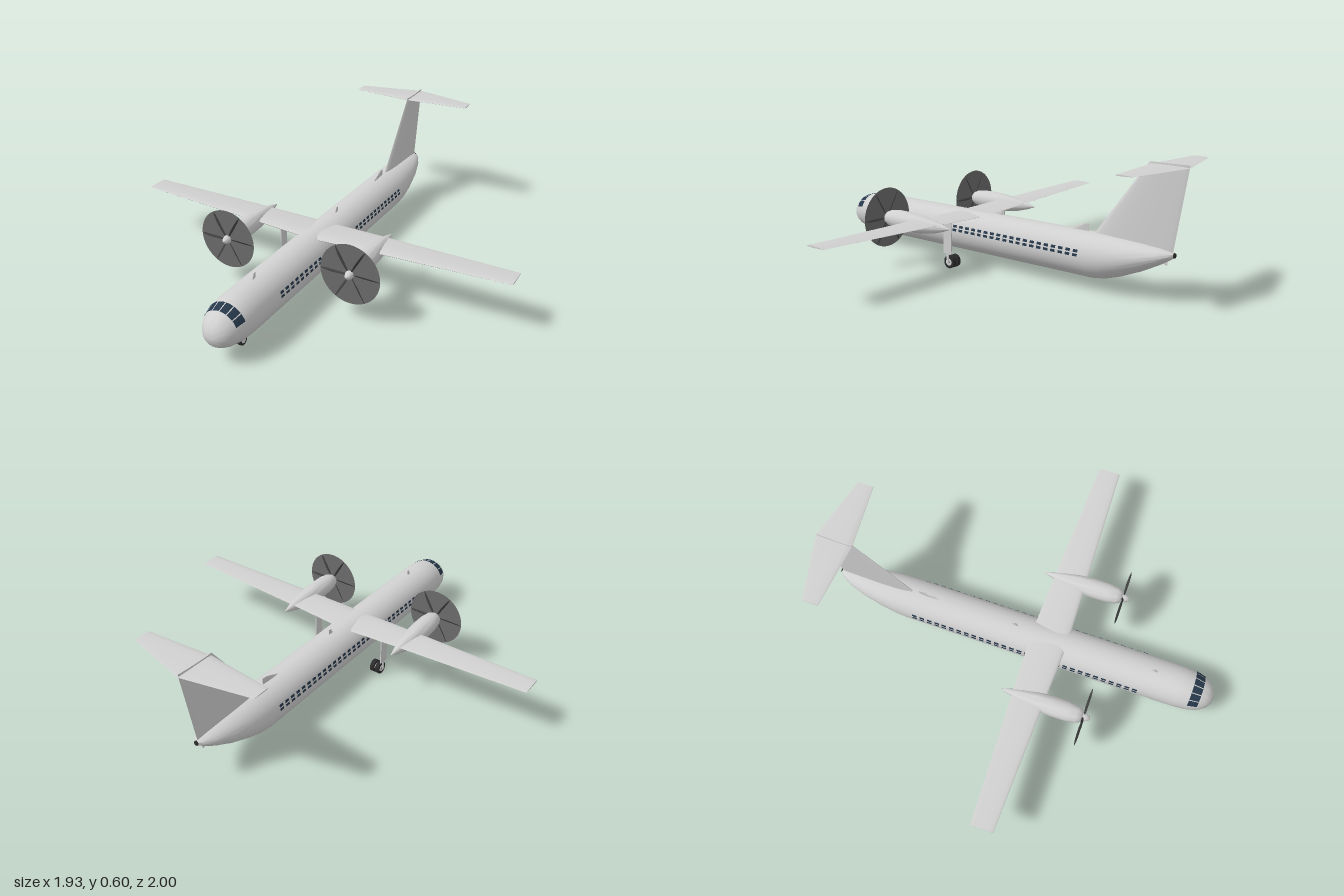
import * as THREE from 'three';
import { toCreasedNormals } from 'three/addons/utils/BufferGeometryUtils.js';

const mat = (name, color) => {
  const m = new THREE.MeshStandardMaterial({ color });
  m.name = name;
  return m;
};

// Joins rings of points (counter-clockwise about the direction of travel) and caps both ends.
function loft(rings, crease = 0.7) {
  const n = rings[0].length, pos = [], idx = [];
  rings.forEach((r) => r.forEach((p) => pos.push(...p)));
  for (let i = 0; i < rings.length - 1; i++) {
    for (let j = 0; j < n; j++) {
      const a = i * n + j, b = i * n + (j + 1) % n;
      idx.push(a, b, a + n, b, b + n, a + n);
    }
  }
  const end = (rings.length - 1) * n;
  for (let j = 1; j < n - 1; j++) idx.push(0, j + 1, j, end, end + j, end + j + 1);
  const g = new THREE.BufferGeometry();
  g.setAttribute('position', new THREE.Float32BufferAttribute(pos, 3));
  g.setIndex(idx);
  return toCreasedNormals(g, crease);
}

// Elliptical body section: [z, half width, top, bottom]
const bodyPoint = ([z, rx, top, bot], t) =>
  [rx * Math.cos(t), (top + bot) / 2 + (top - bot) / 2 * Math.sin(t), z];
const bodyLoft = (sections, n) => loft(sections.map((s) =>
  Array.from({ length: n }, (_, j) => bodyPoint(s, j / n * Math.PI * 2))));

// Aerofoil outline as [z, offset], rounded at the front and sharp at the back
const aerofoil = (zBack, zFront, half) => Array.from({ length: 24 }, (_, j) => {
  const b = j / 24 * Math.PI * 2;
  return [zBack + (zFront - zBack) * (1 + Math.cos(b)) / 2,
    half * Math.sin(b) * (0.85 + 0.4 * Math.cos(b))];
});
// Horizontal surface, rows of [x, y, zBack, zFront, half thickness]
const wingLoft = (rows) => loft(rows.map(([x, y, zb, zf, h]) =>
  aerofoil(zb, zf, h).map(([z, t]) => [x, y - t, z])));
// Vertical surface, rows of [y, zBack, zFront, half thickness]
const finLoft = (rows) => loft(rows.map(([y, zb, zf, h]) =>
  aerofoil(zb, zf, h).map(([z, t]) => [t, y, z])));

const HULL = [
  [-0.945, 0.012, 0.226, 0.205], [-0.93, 0.028, 0.23, 0.194], [-0.88, 0.054, 0.238, 0.163],
  [-0.8, 0.077, 0.246, 0.122], [-0.7, 0.093, 0.252, 0.08], [-0.63, 0.1, 0.2545, 0.058],
  [-0.57, 0.1025, 0.255, 0.05], [0.76, 0.1025, 0.255, 0.05], [0.82, 0.102, 0.254, 0.051],
  [0.88, 0.097, 0.246, 0.055], [0.93, 0.085, 0.231, 0.065], [0.96, 0.069, 0.213, 0.077],
  [0.98, 0.052, 0.193, 0.092], [0.994, 0.029, 0.168, 0.113], [1.0, 0.006, 0.146, 0.134],
];

// Hull section at any z, grown slightly outward
function hullAt(z, grow) {
  let i = 0;
  while (i < HULL.length - 2 && HULL[i + 1][0] < z) i++;
  const a = HULL[i], b = HULL[i + 1], k = (z - a[0]) / (b[0] - a[0]);
  const s = a.map((v, c) => v + (b[c] - v) * k);
  return [z, s[1] + grow, s[2] + grow, s[3] - grow];
}

// Thin pane following the hull
function hullPane(z0, z1, t0, t1) {
  const pos = [], idx = [], steps = 4;
  for (let j = 0; j <= steps; j++) {
    const t = t0 + (t1 - t0) * j / steps;
    pos.push(...bodyPoint(hullAt(z0, 0.002), t), ...bodyPoint(hullAt(z1, 0.002), t));
    if (j < steps) idx.push(2 * j, 2 * j + 2, 2 * j + 1, 2 * j + 2, 2 * j + 3, 2 * j + 1);
  }
  const g = new THREE.BufferGeometry();
  g.setAttribute('position', new THREE.Float32BufferAttribute(pos, 3));
  g.setIndex(idx);
  g.computeVertexNormals();
  return g;
}

export function createModel() {
  const model = new THREE.Group();
  model.name = 'airliner';
  const body = mat('body grey', 0xd0d0d0);
  const glass = mat('window blue', 0x26384a);
  const dark = mat('tyre black', 0x2c2c2c);
  const blade = mat('blade grey', 0x404040);
  const blur = mat('propeller disc grey', 0x6c6c6c);
  blur.side = glass.side = THREE.DoubleSide;

  const add = (name, geo, m, parent = model, x = 0, y = 0, z = 0) => {
    const mesh = new THREE.Mesh(geo, m);
    mesh.name = name;
    mesh.position.set(x, y, z);
    parent.add(mesh);
    return mesh;
  };
  const group = (name, x = 0, y = 0, z = 0) => {
    const g = new THREE.Group();
    g.name = name;
    g.position.set(x, y, z);
    model.add(g);
    return g;
  };

  // Fuselage, exhaust and flying surfaces
  add('fuselage', bodyLoft(HULL, 48), body);
  add('tailExhaust', new THREE.CylinderGeometry(0.011, 0.011, 0.012, 16).rotateX(Math.PI / 2),
    dark, model, 0, 0.2155, -0.944);
  add('wing', wingLoft([
    [-0.965, 0.26, 0.105, 0.215, 0.004], [-0.32, 0.247, 0.078, 0.236, 0.01],
    [-0.05, 0.239, 0.066, 0.246, 0.012], [0.05, 0.239, 0.066, 0.246, 0.012],
    [0.32, 0.247, 0.078, 0.236, 0.01], [0.965, 0.26, 0.105, 0.215, 0.004],
  ]), body);
  add('fin', finLoft([[0.215, -0.938, -0.53, 0.016], [0.597, -0.998, -0.815, 0.006]]), body);
  add('tailplane', wingLoft([
    [-0.32, 0.585, -0.925, -0.846, 0.003], [0, 0.585, -1, -0.817, 0.006],
    [0.32, 0.585, -0.925, -0.846, 0.003],
  ]), body);

  // Small blades along the top and bottom: [name, z back, z front, top z front, y base, y tip]
  const blades = [
    ['dorsalFairing', -0.525, -0.41, -0.5, 0.25, 0.288],
    ['frontAerial', 0.675, 0.702, 0.685, 0.25, 0.28],
    ['midAerial', -0.035, -0.005, -0.022, 0.25, 0.28],
    ['bellyAerial', 0.325, 0.352, 0.335, 0.055, 0.033],
    ['tailSkid', -0.915, -0.89, -0.905, 0.19, 0.168],
  ];
  for (const [name, zb, zf, zt, y0, y1] of blades) {
    const rows = [[y0, zb, zf, 0.004], [y1, zb - 0.003, zt, 0.003]];
    add(name, finLoft(y1 > y0 ? rows : rows.reverse()), body);
  }

  // Cockpit panes across the nose
  const cockpit = group('cockpitWindows');
  for (let i = 0; i < 6; i++) {
    const t = 0.36 + i * 0.405;
    add('cockpitPane', hullPane(0.882, 0.93, t + 0.025, t + 0.38), glass, cockpit);
  }

  // Two window strips on each side
  const cabin = group('cabinWindows');
  for (let i = 0; i < 30; i++) {
    const z = 0.612 - i * 0.0395;
    for (const [t0, t1] of [[0.25, 0.37], [0.075, 0.19]]) {
      add('cabinWindow', hullPane(z, z + 0.024, t0, t1), glass, cabin);
      add('cabinWindow', hullPane(z, z + 0.024, Math.PI - t1, Math.PI - t0), glass, cabin);
    }
  }

  // Engines with propellers
  const nacelle = bodyLoft([
    [0.02, 0.002, 0.237, 0.233], [0.06, 0.014, 0.25, 0.218], [0.12, 0.03, 0.263, 0.201],
    [0.2, 0.044, 0.275, 0.188], [0.28, 0.049, 0.28, 0.185], [0.35, 0.048, 0.28, 0.188],
    [0.4, 0.041, 0.274, 0.197], [0.42, 0.032, 0.265, 0.206], [0.428, 0.018, 0.252, 0.217],
  ], 28);
  const spinner = new THREE.LatheGeometry([[0.02, 0], [0.019, 0.015], [0.013, 0.03], [0, 0.038]]
    .map(([r, h]) => new THREE.Vector2(r, h)), 20).rotateX(Math.PI / 2);
  const bladeGeo = new THREE.SphereGeometry(1, 14, 8).scale(0.068, 0.009, 0.0022)
    .rotateX(0.7).translate(0.077, 0, 0);
  for (const side of [-1, 1]) {
    const label = side > 0 ? 'left' : 'right';
    add(label + 'Nacelle', nacelle, body, model, side * 0.32);
    const prop = group(label + 'Propeller', side * 0.32, 0.234, 0.432);
    add('propellerDisc', new THREE.CircleGeometry(0.145, 48), blur, prop);
    add('spinner', spinner, body, prop, 0, 0, -0.005);
    for (let i = 0; i < 6; i++) add('blade', bladeGeo, blade, prop).rotation.z = i * Math.PI / 3;
  }

  // Landing gear
  const wheel = (parent, x, r, w) => {
    add('tyre', toCreasedNormals(new THREE.CylinderGeometry(r, r, w, 28).rotateZ(Math.PI / 2), 0.7),
      dark, parent, x, r, 0);
    add('wheelHub', toCreasedNormals(new THREE.CylinderGeometry(r * 0.58, r * 0.58, w + 0.003, 20)
      .rotateZ(Math.PI / 2), 0.7), body, parent, x, r, 0);
  };
  const axle = (parent, x, y, length) => add('axle',
    new THREE.CylinderGeometry(0.005, 0.005, length, 10).rotateZ(Math.PI / 2), dark, parent, x, y, 0);

  const nose = group('noseGear', 0, 0, 0.808);
  for (const s of [-1, 1]) wheel(nose, s * 0.0135, 0.025, 0.015);
  axle(nose, 0, 0.025, 0.03);
  add('noseStrut', new THREE.CylinderGeometry(0.005, 0.005, 0.05, 10), body, nose, 0, 0.048, 0);

  for (const side of [-1, 1]) {
    const gear = group(side > 0 ? 'leftMainGear' : 'rightMainGear', 0, 0, 0.145);
    for (const x of [0.153, 0.183]) wheel(gear, side * x, 0.031, 0.02);
    axle(gear, side * 0.175, 0.031, 0.052);
    add('gearDoor', new THREE.BoxGeometry(0.005, 0.165, 0.05), body, gear, side * 0.2, 0.1575, 0);
    add('gearStrut', new THREE.BoxGeometry(0.004, 0.055, 0.012), body, gear, side * 0.2, 0.0535, 0);
  }
  return model;
}
